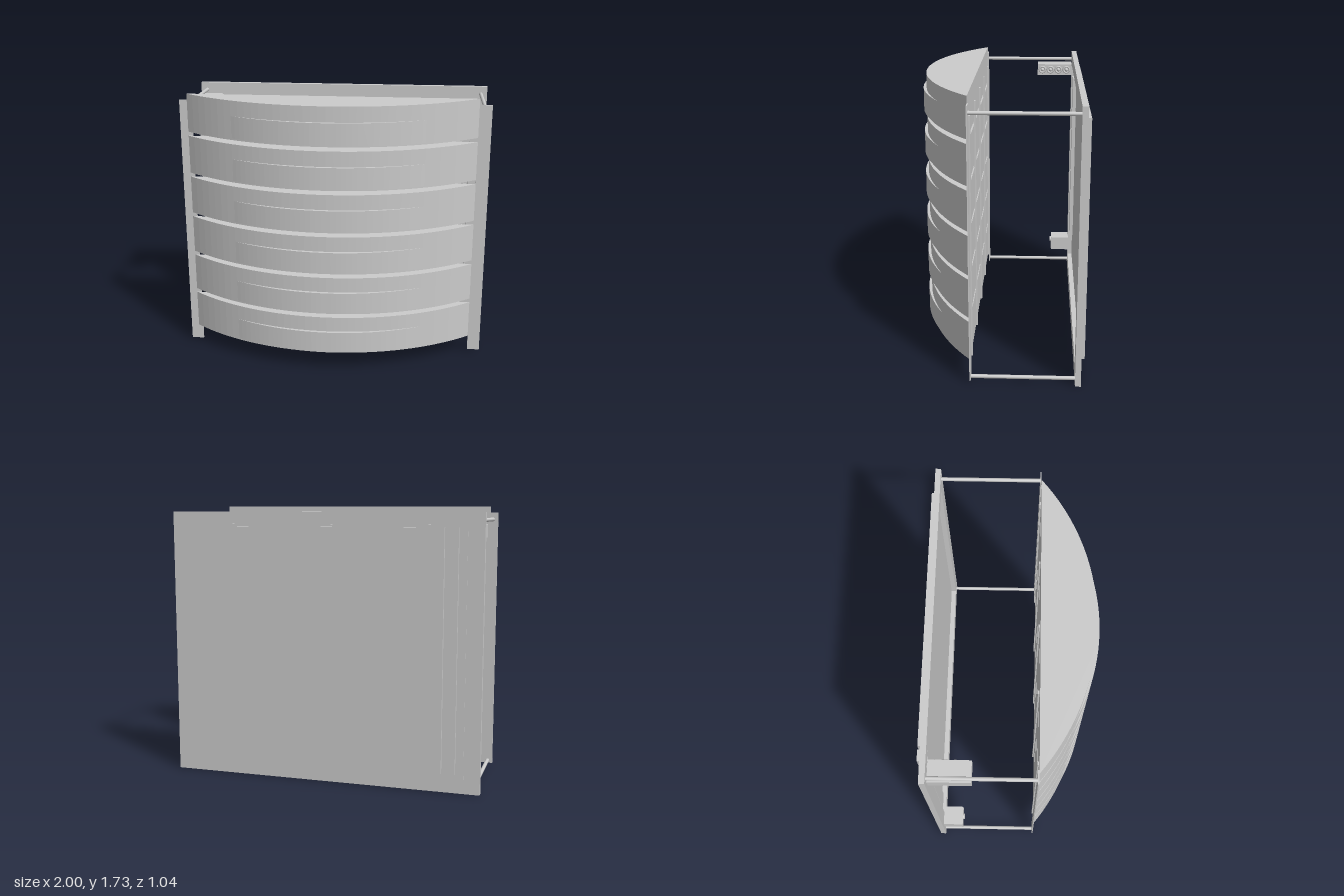
import * as THREE from 'three';

const mat = new THREE.MeshStandardMaterial({ color: 0xcccccc, side: THREE.DoubleSide });

export function createModel() {
  const model = new THREE.Group();
  const add = (name, geo, x = 0, y = 0, z = 0, parent = model) => {
    const m = new THREE.Mesh(geo, mat);
    m.name = name;
    m.position.set(x, y, z);
    parent.add(m);
    return m;
  };
  // box given by its limits on each axis
  const box = (name, x0, x1, y0, y1, z0, z1, parent) =>
    add(name, new THREE.BoxGeometry(x1 - x0, y1 - y0, z1 - z0),
      (x0 + x1) / 2, (y0 + y1) / 2, (z0 + z1) / 2, parent);

  // circular bow in plan: half width, height of the bow, end line z
  const bow = (half, rise, z) => {
    const r = (half * half + rise * rise) / (2 * rise), pts = [];
    for (let i = 0; i <= 40; i++) {
      const x = -half + (2 * half * i) / 40;
      pts.push(new THREE.Vector2(x, -(z + Math.sqrt(r * r - x * x) - (r - rise))));
    }
    return pts;
  };
  // extrude a plan outline upwards
  const slab = (pts, h) => {
    const g = new THREE.ExtrudeGeometry(new THREE.Shape(pts), { depth: h, bevelEnabled: false });
    return g.rotateX(-Math.PI / 2);
  };

  // six stacked bowed louvres, each with a raised lip
  const body = slab(bow(0.925, 0.33, 0.167), 0.247);
  const lip = slab(bow(0.64, 0.172, 0.346), 0.14);
  for (let i = 0; i < 6; i++) {
    const g = new THREE.Group();
    g.name = 'louvre' + (i + 1);
    g.position.set(-0.015, 0.115 + i * 0.2735, 0);
    add('louvreBody', body, 0, 0, 0, g);
    add('louvreLip', lip, 0, 0.01, 0, g);
    model.add(g);
  }

  // thin ribs behind the louvres
  for (const x of [-0.85, -0.43, -0.015, 0.405, 0.82])
    box('rib', x - 0.01, x + 0.01, 0.1, 1.6, 0.158, 0.17);

  // side uprights
  box('rightUpright', -0.99, -0.91, 0.015, 1.69, 0.16, 0.167);
  box('leftUpright', 0.91, 0.99, 0.015, 1.69, 0.16, 0.167);

  // rods between uprights and back frame
  const rod = new THREE.CylinderGeometry(0.012, 0.012, 0.63, 12).rotateX(Math.PI / 2);
  for (const x of [-0.957, 0.957])
    for (const y of [0.032, 1.645]) add('spacerRod', rod, x, y, -0.15);

  // back frame with opening
  const rect = (S, x0, x1, y0, y1) => {
    const s = new S();
    s.moveTo(x0, y0).lineTo(x1, y0).lineTo(x1, y1).lineTo(x0, y1).closePath();
    return s;
  };
  const frame = rect(THREE.Shape, -1, 1, 0, 1.695);
  frame.holes.push(rect(THREE.Path, -0.89, 0.9, 0.1, 1.61));
  add('backFrame', new THREE.ExtrudeGeometry(frame, { depth: 0.035, bevelEnabled: false }), 0, 0, -0.498);

  // back panel: backing, main sheet and narrow side strip with a groove between
  box('panelBacking', -0.9, 0.91, 0.09, 1.62, -0.502, -0.496);
  box('backPanel', -0.765, 0.88, 0.12, 1.605, -0.523, -0.5);
  box('panelStrip', -0.85, -0.785, 0.12, 1.605, -0.523, -0.5);
  box('innerStrip', -0.87, -0.77, 0.3, 1.53, -0.496, -0.47);

  // socket box with four round sockets facing inwards
  box('socketBox', -0.975, -0.845, 1.54, 1.62, -0.46, -0.21);
  const ring = new THREE.TorusGeometry(0.022, 0.006, 8, 20).rotateY(Math.PI / 2);
  const pin = new THREE.SphereGeometry(0.012, 12, 8);
  for (let i = 0; i < 4; i++) {
    const z = -0.245 - i * 0.059;
    add('socketRing', ring, -0.845, 1.58, z);
    add('socketPin', pin, -0.845, 1.58, z);
  }

  // lower control box with a small button
  box('controlBox', -0.975, -0.85, 0.15, 0.25, -0.465, -0.33);
  add('button', new THREE.CylinderGeometry(0.02, 0.02, 0.012, 16).rotateX(Math.PI / 2), -0.91, 0.215, -0.325);

  return model;
}
